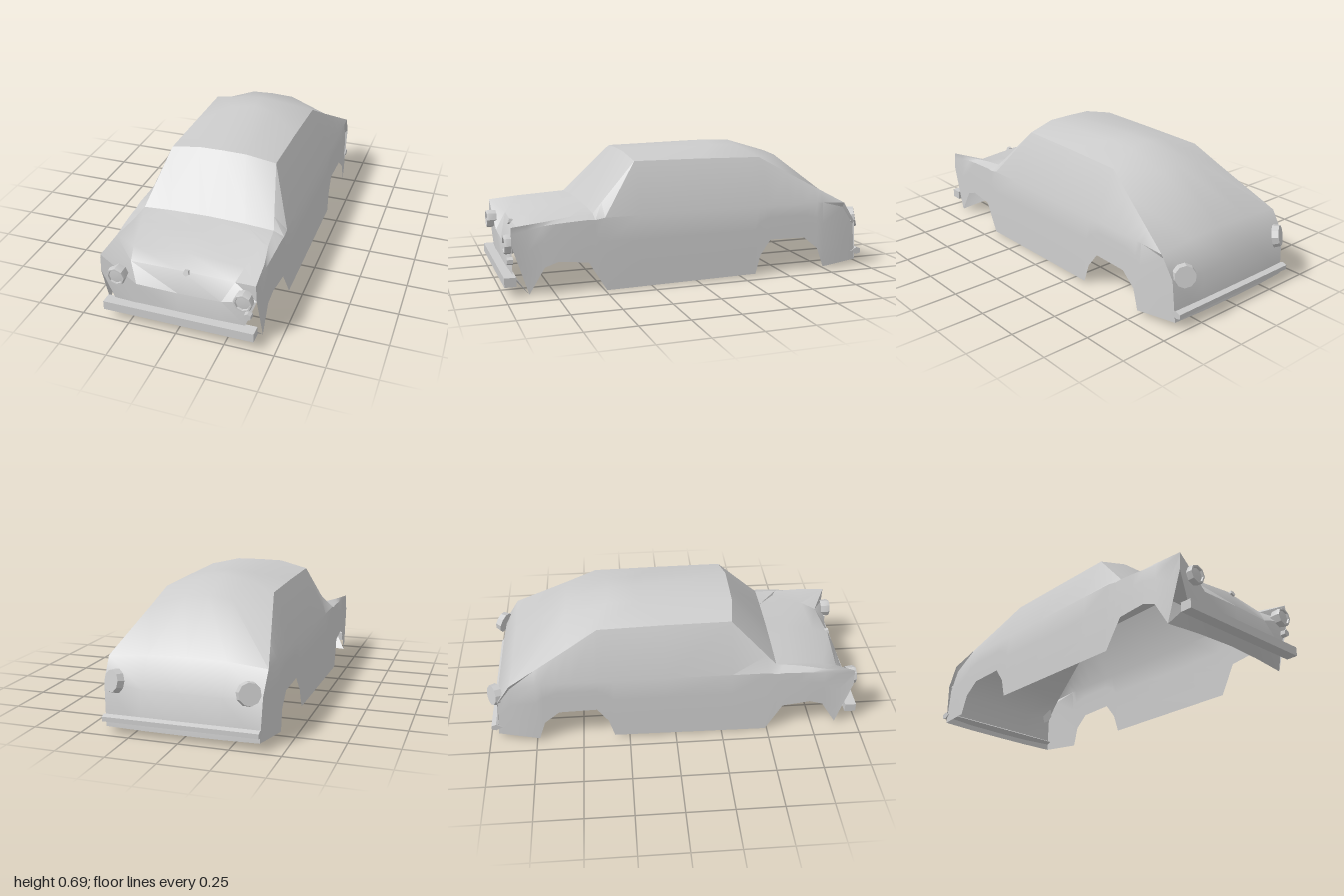
import * as THREE from 'three';
import { toCreasedNormals } from 'three/addons/utils/BufferGeometryUtils.js';

const material = new THREE.MeshStandardMaterial({ color: 0xcccccc, side: THREE.DoubleSide });

function addMesh(parent, name, geometry) {
  const mesh = new THREE.Mesh(geometry, material);
  mesh.name = name;
  parent.add(mesh);
  return mesh;
}

// Skin through rows of points; every row has the same number of points
function skin(rows, crease) {
  const n = rows[0].length;
  const index = [];
  for (let i = 0; i < rows.length - 1; i++) {
    for (let j = 0; j < n - 1; j++) {
      const a = i * n + j, b = a + 1, c = a + n, d = c + 1;
      index.push(a, b, c, b, d, c);
    }
  }
  const geometry = new THREE.BufferGeometry();
  geometry.setAttribute('position', new THREE.Float32BufferAttribute(rows.flat(2), 3));
  geometry.setIndex(index);
  return toCreasedNormals(geometry, crease);
}

// Linear interpolation along a polyline of [z, value] with falling z
function along(points, z) {
  for (let i = 0; i < points.length - 1; i++) {
    const [z0, v0] = points[i], [z1, v1] = points[i + 1];
    if (z >= z1) return v0 + (v1 - v0) * Math.min(1, Math.max(0, (z0 - z) / (z0 - z1)));
  }
  return points[points.length - 1][1];
}

// Centre, middle and edge of the upper body, from the front apron over the roof to the tail
const topRows = [
  [[0, 0.02, 0.90], [0.2, 0.016, 0.895], [0.405, 0.01, 0.88]],
  [[0, 0.07, 0.955], [0.2, 0.075, 0.955], [0.34, 0.10, 0.95]],
  [[0, 0.21, 0.955], [0.22, 0.21, 0.95], [0.40, 0.26, 0.96]],
  [[0, 0.31, 0.905], [0.27, 0.295, 0.89], [0.395, 0.35, 0.96]],
  [[0, 0.35, 0.81], [0.29, 0.33, 0.81], [0.385, 0.365, 0.80]],
  [[0, 0.38, 0.66], [0.325, 0.37, 0.64], [0.36, 0.377, 0.66]],
  [[0, 0.40, 0.54], [0.2, 0.395, 0.54], [0.35, 0.385, 0.54]],
  [[0, 0.667, 0.32], [0.13, 0.665, 0.32], [0.285, 0.63, 0.30]],
  [[0, 0.69, -0.20], [0.12, 0.675, -0.18], [0.286, 0.627, -0.05]],
  [[0, 0.686, -0.33], [0.12, 0.67, -0.34], [0.29, 0.62, -0.40]],
  [[0, 0.615, -0.56], [0.12, 0.605, -0.57], [0.325, 0.535, -0.55]],
  [[0, 0.38, -0.86], [0.2, 0.375, -0.86], [0.40, 0.36, -0.87]],
  [[0, 0.23, -0.95], [0.2, 0.23, -0.95], [0.395, 0.25, -0.94]],
  [[0, 0.03, -0.967], [0.2, 0.03, -0.965], [0.385, 0.03, -0.955]],
];

// Lower edge of the side panels, with both wheel arches
const sill = [
  [0.96, 0.26], [0.88, 0.01], [0.80, 0.14], [0.73, 0.165], [0.58, 0.15], [0.49, 0], [-0.33, 0.01],
  [-0.36, 0.11], [-0.42, 0.19], [-0.62, 0.185], [-0.70, 0.12], [-0.735, 0.015], [-0.955, 0.03],
];

function sideRows() {
  const edge = topRows.slice(3).map(row => row[2]);
  const edgeX = edge.map(p => [p[2], p[0]]);
  const edgeY = edge.map(p => [p[2], p[1]]);
  const stations = [...new Set([...edgeX, ...sill].map(p => p[0]))].sort((a, b) => b - a);
  const widths = [[0.37, 0.405], [0.26, 0.413], [0.1, 0.421], [0, 0.425]];
  const taper = [[0.96, 0.013], [0.88, 0.018], [0.7, 0.006], [0.5, 0], [-0.75, 0], [-0.955, 0.039]];
  return stations.map(z => {
    const top = along(edgeY, z), bottom = along(sill, z);
    const shoulder = Math.min(0.37, bottom + (top - bottom) * 0.92);
    const row = [[along(edgeX, z), top, z]];
    for (let k = 0; k <= 3; k++) {
      const y = shoulder + (bottom - shoulder) * k / 3;
      row.push([along(widths, y) - along(taper, z), y, z]);
    }
    return row;
  });
}

const flip = ([x, y, z]) => [-x, y, z];

function disc(parent, name, radius, depth, sides, position, direction) {
  const geometry = new THREE.CylinderGeometry(radius * 0.9, radius, depth, sides);
  const mesh = addMesh(parent, name, toCreasedNormals(geometry, 0.6));
  mesh.position.set(...position);
  mesh.quaternion.setFromUnitVectors(new THREE.Vector3(0, 1, 0), new THREE.Vector3(...direction).normalize());
  return mesh;
}

export function createModel() {
  const car = new THREE.Group();
  car.name = 'car';

  // Body shell, open underneath
  const body = new THREE.Group();
  body.name = 'bodyShell';
  car.add(body);
  const fullRows = topRows.map(([c, m, e]) => [flip(e), flip(m), c, m, e]);
  addMesh(body, 'upperBody', skin(fullRows, 0.55));
  const left = sideRows();
  addMesh(body, 'leftSide', skin(left, 0.6));
  addMesh(body, 'rightSide', skin(left.map(row => row.map(flip).reverse()), 0.6));

  // Bumpers
  const front = addMesh(car, 'frontBumper', new THREE.BoxGeometry(0.78, 0.047, 0.06));
  front.position.set(0.008, 0.077, 0.97);
  const rear = new THREE.Shape();
  [[0.93, 0.078], [0.965, 0.058], [0.99, 0.065], [0.99, 0.088], [0.965, 0.097]]
    .forEach(([a, b], i) => (i ? rear.lineTo(a, b) : rear.moveTo(a, b)));
  const rearBumper = addMesh(car, 'rearBumper', new THREE.ExtrudeGeometry(rear, { depth: 0.78, bevelEnabled: false }));
  rearBumper.rotation.y = Math.PI / 2;
  rearBumper.position.x = -0.39;

  // Headlights: faceted rim around a recessed lens
  const rim = [[0.046, -0.035], [0.05, 0.005], [0.046, 0.018], [0.038, 0.018], [0.036, 0.008], [0, 0.012]]
    .map(([r, h]) => new THREE.Vector2(r, h));
  for (const x of [-0.31, 0.338]) {
    const light = addMesh(car, 'headlight', toCreasedNormals(new THREE.LatheGeometry(rim, 8), 0.4));
    light.rotation.x = Math.PI / 2;
    light.position.set(x, 0.256, 0.972);
  }

  // Round tail lamps, turned outward
  for (const s of [-1, 1]) {
    disc(car, 'tailLamp', 0.06, 0.035, 10, [s * 0.335, 0.262, -0.958], [s * 0.5, 0.2, -0.87]);
  }

  // Small front lamp and bonnet badge plate
  disc(car, 'markerLamp', 0.021, 0.03, 6, [0.36, 0.176, 0.965], [0, 0, 1]);
  disc(car, 'bonnetKnob', 0.018, 0.02, 5, [0.03, 0.305, 0.908], [0, 0.35, 1]);

  return car;
}
